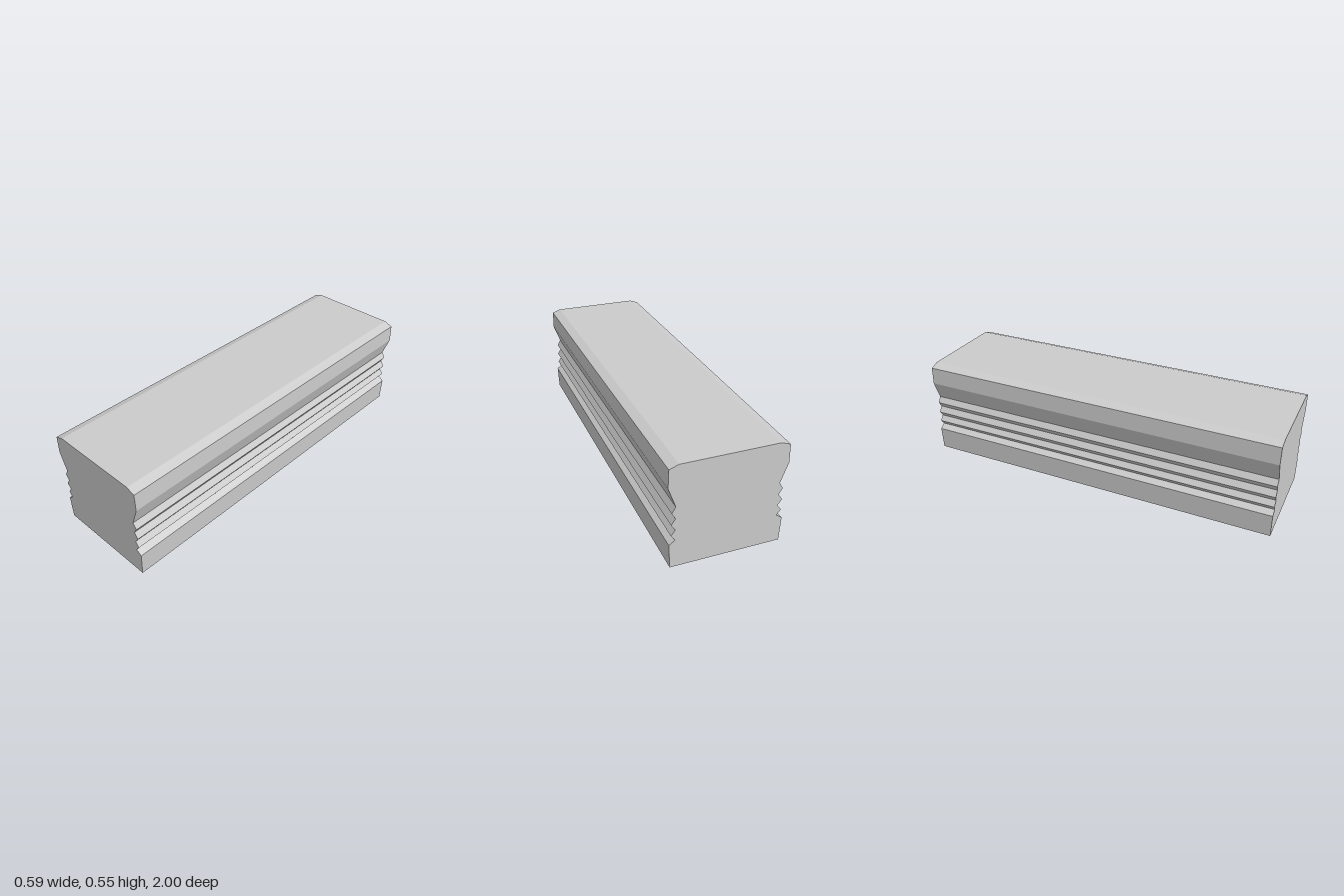
import * as THREE from 'three';

export function createModel() {
  const group = new THREE.Group();

  // Right half of the cross-section, bottom to top: [x, y]
  const half = [
    [0.28, 0], [0.286, 0.127], // plinth
    [0.256, 0.149], [0.277, 0.177], [0.256, 0.205], [0.277, 0.235],
    [0.256, 0.266], [0.275, 0.297], [0.256, 0.329], // grooves
    [0.294, 0.432], [0.292, 0.528], [0.245, 0.545], // flared head, bevelled top
  ];
  const mirrored = half.map(([x, y]) => [-x, y]).reverse();
  const outline = [...half, ...mirrored].map(([x, y]) => new THREE.Vector2(x, y));

  // Profile run along the full length
  const length = 2;
  const geometry = new THREE.ExtrudeGeometry(new THREE.Shape(outline), {
    depth: length,
    bevelEnabled: false,
  });
  geometry.translate(0, 0, -length / 2);

  const bar = new THREE.Mesh(
    geometry,
    new THREE.MeshStandardMaterial({ color: 0xcccccc, flatShading: true })
  );
  bar.name = 'groovedBar';
  group.add(bar);
  return group;
}
